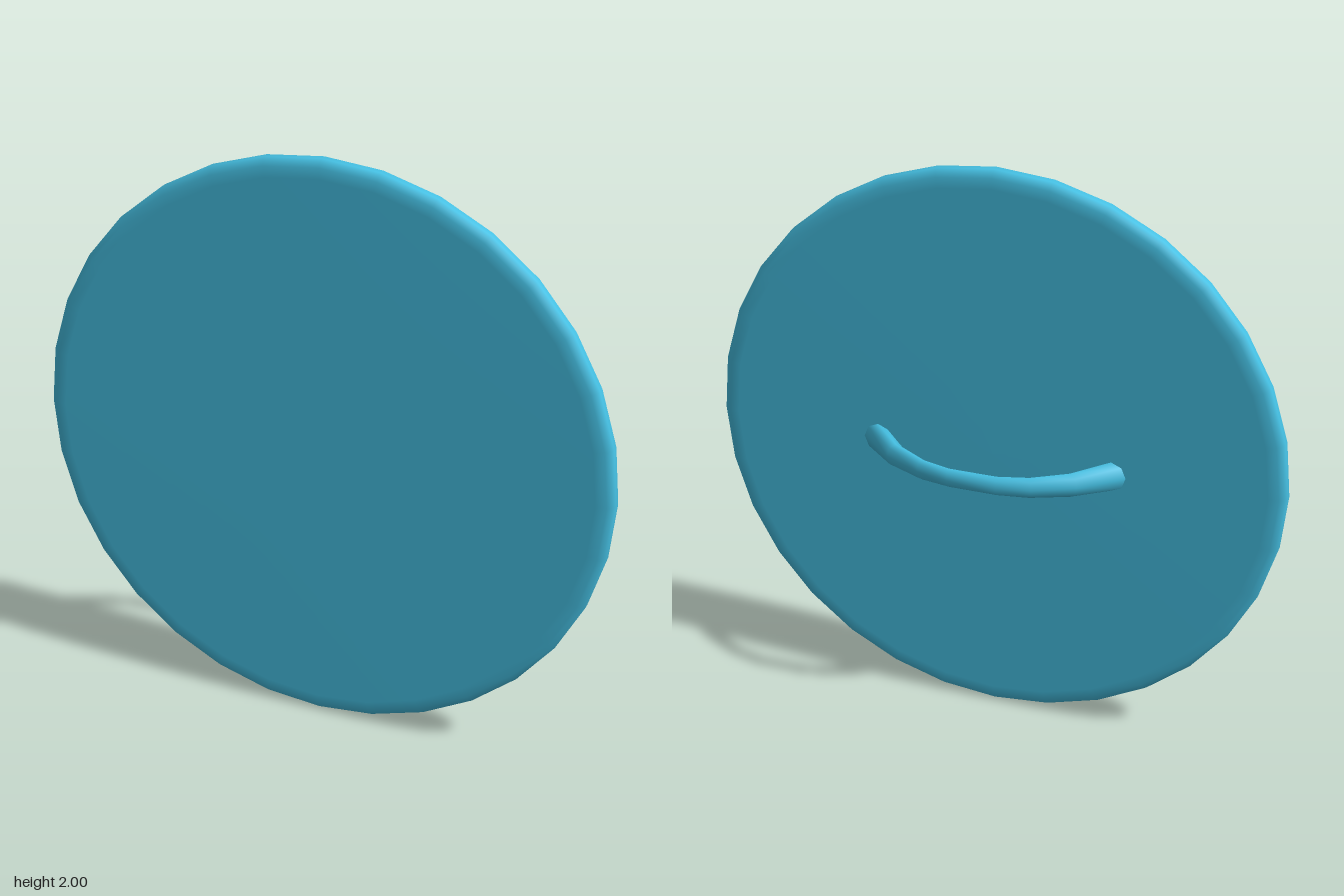
import * as THREE from 'three';
import { mergeVertices } from 'three/addons/utils/BufferGeometryUtils.js';

const material = new THREE.MeshStandardMaterial({ color: 0x45c0e3 });

// Round plate with a softly rounded rim, facing +z
function makePlate() {
  const front = [[1, 0.012], [0.992, 0.023], [0.975, 0.031], [0.94, 0.035], [0, 0.036]];
  const back = front.map(([r, h]) => [r, -h]).reverse();
  const profile = [...back, ...front].map(([r, h]) => new THREE.Vector2(r, h));
  const geometry = new THREE.LatheGeometry(profile, 32);
  geometry.rotateX(Math.PI / 2);
  const plate = new THREE.Mesh(geometry, material);
  plate.name = 'plate';
  plate.position.set(0, 1, 0.095);
  plate.rotation.x = -0.015;
  return plate;
}

// Bowed grip: elliptical rings strung between outer and inner outlines
function makeHandle() {
  // outer x, outer z, inner x, inner z, half height
  const half = [
    [0.085, -0.152, 0.08, -0.108, 0.034],
    [0.2, -0.125, 0.175, -0.088, 0.037],
    [0.335, -0.058, 0.28, -0.028, 0.043],
    [0.465, 0.06, 0.37, 0.065, 0.053],
  ];
  const mirrored = half.map(([ox, oz, ix, iz, h]) => [-ox, oz, -ix, iz, h]).reverse();
  const rings = [...mirrored, ...half];
  let geometry = new THREE.CylinderGeometry(1, 1, 1, 8, rings.length - 1, true);
  const p = geometry.attributes.position;
  for (let i = 0; i < p.count; i++) {
    const ring = Math.round((p.getY(i) + 0.5) * (rings.length - 1));
    const [ox, oz, ix, iz, h] = rings[ring];
    const t = (p.getX(i) + 1) / 2;
    p.setXYZ(i, ox + (ix - ox) * t, h * p.getZ(i), oz + (iz - oz) * t);
  }
  geometry.deleteAttribute('uv');
  geometry.deleteAttribute('normal');
  geometry = mergeVertices(geometry);
  geometry.computeVertexNormals();
  const handle = new THREE.Mesh(geometry, material);
  handle.name = 'handle';
  handle.position.y = 0.99;
  return handle;
}

export function createModel() {
  const group = new THREE.Group();
  group.name = 'roundShield';
  group.add(makePlate(), makeHandle());
  return group;
}
